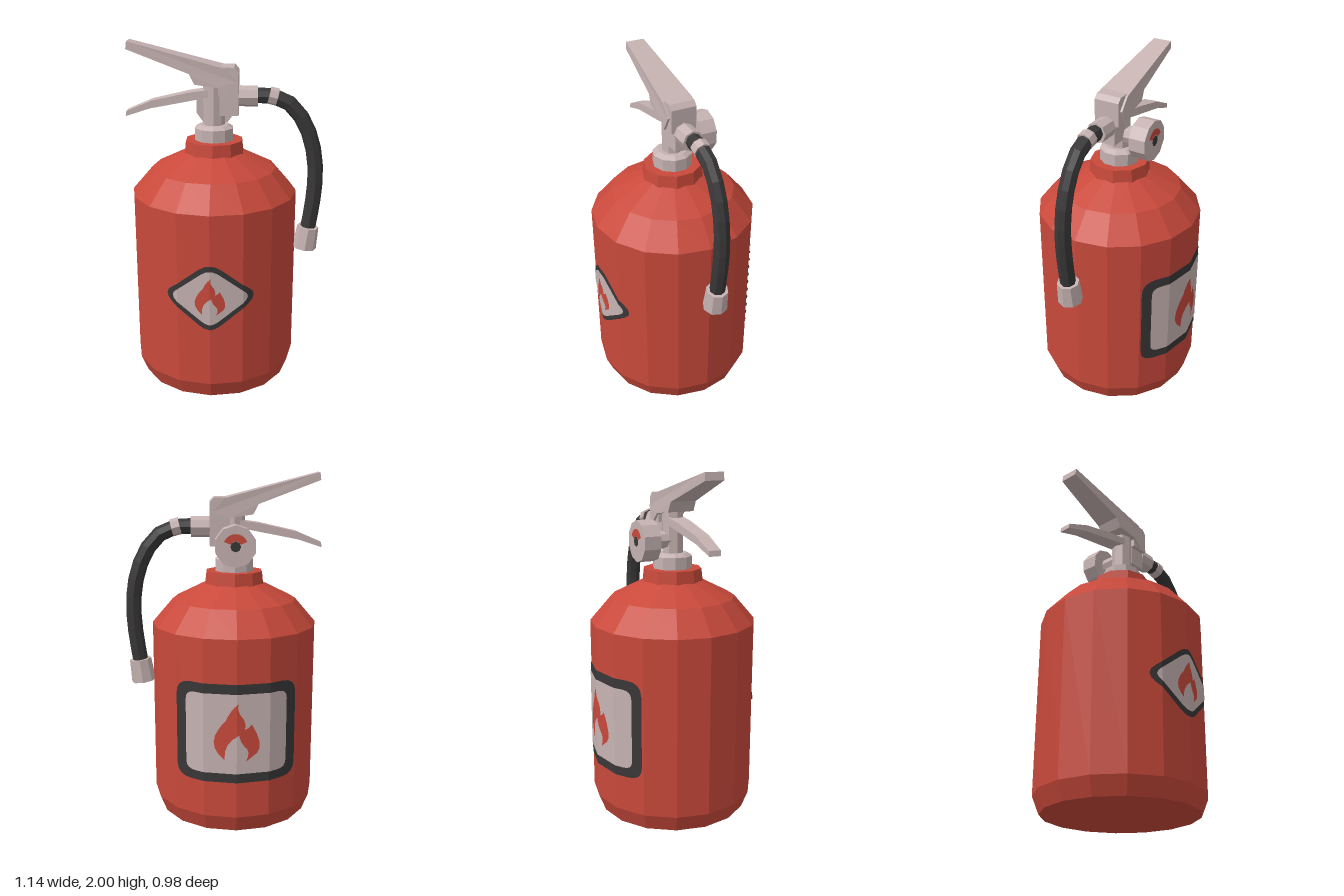
import * as THREE from 'three';

const red = new THREE.MeshStandardMaterial({ color: 0xc9493b });
red.name = 'red paint';
const metal = new THREE.MeshStandardMaterial({ color: 0xc6b3b2 });
metal.name = 'pale metal';
const black = new THREE.MeshStandardMaterial({ color: 0x393737 });
black.name = 'black rubber';

const AXIS = -0.065; // x of the tank axis
const R = 0.48;
const SIDES = 16;

// Faceted copy of a geometry
function flat(geo) {
  const g = geo.index ? geo.toNonIndexed() : geo;
  g.computeVertexNormals();
  return g;
}

function add(parent, name, geo, mat, x = 0, y = 0, z = 0) {
  const mesh = new THREE.Mesh(flat(geo), mat);
  mesh.name = name;
  mesh.position.set(x, y, z);
  parent.add(mesh);
  return mesh;
}

// Side profile extruded across z, its half width set by a rule along x
function lever(points, halfWidth) {
  const shape = new THREE.Shape(points.map(([x, y]) => new THREE.Vector2(x, y)));
  const geo = new THREE.ExtrudeGeometry(shape, { depth: 2, bevelEnabled: false });
  geo.translate(0, 0, -1);
  const p = geo.attributes.position;
  for (let i = 0; i < p.count; i++) p.setZ(i, p.getZ(i) * halfWidth(p.getX(i)));
  return geo;
}

// Polygon with softened corners
function rounded(corners, r) {
  const pts = corners.map(([x, y]) => new THREE.Vector2(x, y));
  const n = pts.length;
  const shape = new THREE.Shape();
  pts.forEach((p, i) => {
    const toward = (q) => p.clone().add(q.clone().sub(p).setLength(r));
    const a = toward(pts[(i + n - 1) % n]);
    const b = toward(pts[(i + 1) % n]);
    if (i === 0) shape.moveTo(a.x, a.y);
    else shape.lineTo(a.x, a.y);
    shape.quadraticCurveTo(p.x, p.y, b.x, b.y);
  });
  return shape.getPoints(4);
}

// Keep the part of a polygon on one side of x = limit
function clip(pts, limit, sign) {
  const out = [];
  pts.forEach((p, i) => {
    const q = pts[(i + 1) % pts.length];
    const dp = (p.x - limit) * sign;
    const dq = (q.x - limit) * sign;
    if (dp >= 0) out.push(p);
    if (dp * dq < 0) out.push(p.clone().lerp(q, dp / (dp - dq)));
  });
  return out;
}

// Lay a flat outline onto the tank's facets, lifted a little
function decal(parent, name, pts, mat, lift) {
  const group = new THREE.Group();
  group.name = name;
  const r = R + lift;
  const step = (2 * Math.PI) / SIDES;
  for (let k = -3; k < 3; k++) {
    const x0 = r * Math.sin(k * step), x1 = r * Math.sin((k + 1) * step);
    const z0 = r * Math.cos(k * step), z1 = r * Math.cos((k + 1) * step);
    const piece = clip(clip(pts, x0, 1), x1, -1);
    if (piece.length < 3) continue;
    const geo = new THREE.ShapeGeometry(new THREE.Shape(piece));
    const p = geo.attributes.position;
    for (let i = 0; i < p.count; i++) {
      p.setZ(i, z0 + ((z1 - z0) * (p.getX(i) - x0)) / (x1 - x0));
    }
    add(group, name + 'Facet', geo, mat);
  }
  parent.add(group);
}

// Flame outline about its own centre
function flame(scale, cy) {
  const s = new THREE.Shape();
  s.moveTo(-0.045, -0.095);
  s.quadraticCurveTo(-0.1, -0.05, -0.08, 0.0);
  s.quadraticCurveTo(-0.065, 0.035, -0.04, 0.06);
  s.quadraticCurveTo(-0.025, 0.1, 0.005, 0.125);
  s.quadraticCurveTo(0.0, 0.095, 0.022, 0.07);
  s.quadraticCurveTo(0.035, 0.05, 0.03, 0.025);
  s.quadraticCurveTo(0.05, 0.03, 0.055, 0.045);
  s.quadraticCurveTo(0.105, -0.04, 0.075, -0.07);
  s.lineTo(0.035, -0.1);
  s.quadraticCurveTo(0.055, -0.06, 0.028, -0.04);
  s.quadraticCurveTo(0.015, -0.025, 0.008, 0.005);
  s.quadraticCurveTo(-0.05, -0.03, -0.045, -0.09);
  return s.getPoints(4).map((p) => new THREE.Vector2(p.x * scale, p.y * scale + cy));
}

const box = (w, h) => [[-w, -h], [w, -h], [w, h], [-w, h]];
const diamond = (w, h) => [[0, -h], [w, 0], [0, h], [-w, 0]];
const raise = (pts, y) => pts.map((p) => new THREE.Vector2(p.x, p.y + y));

export function createModel() {
  const model = new THREE.Group();
  model.name = 'fireExtinguisher';

  // Tank and neck
  const profile = [[0, 0], [0.44, 0], [R, 0.1], [R, 1.135], [0.36, 1.275], [0.16, 1.375], [0, 1.375]];
  add(model, 'tank', new THREE.LatheGeometry(profile.map(([x, y]) => new THREE.Vector2(x, y)), SIDES), red, AXIS);
  add(model, 'neck', new THREE.CylinderGeometry(0.168, 0.177, 0.08, 10), red, AXIS, 1.4);

  // Front diamond label
  const front = new THREE.Group();
  front.name = 'frontLabel';
  front.position.x = AXIS;
  decal(front, 'frontBorder', raise(rounded(diamond(0.275, 0.22), 0.08), 0.648), black, 0.003);
  decal(front, 'frontPanel', raise(rounded(diamond(0.235, 0.182), 0.06), 0.648), metal, 0.006);
  decal(front, 'frontFlame', flame(1, 0.645), red, 0.009);
  model.add(front);

  // Back rectangular label
  const back = new THREE.Group();
  back.name = 'backLabel';
  back.position.x = AXIS;
  back.rotation.y = Math.PI;
  decal(back, 'backBorder', raise(rounded(box(0.333, 0.287), 0.08), 0.598), black, 0.003);
  decal(back, 'backPanel', raise(rounded(box(0.282, 0.232), 0.05), 0.598), metal, 0.006);
  decal(back, 'backFlame', flame(1.5, 0.59), red, 0.009);
  model.add(back);

  // Valve
  add(model, 'collar', new THREE.CylinderGeometry(0.114, 0.114, 0.07, 10), metal, AXIS, 1.475);
  add(model, 'collarTop', new THREE.CylinderGeometry(0.085, 0.114, 0.018, 10), metal, AXIS, 1.519);
  add(model, 'valveStem', new THREE.CylinderGeometry(0.062, 0.062, 0.28, 8), metal, AXIS, 1.64);
  add(model, 'valveBlock', new THREE.BoxGeometry(0.107, 0.16, 0.1), metal, 0.023, 1.665);
  const head = [[-0.035, 1.7], [0.077, 1.7], [0.077, 1.835], [0.052, 1.862], [-0.035, 1.862]];
  add(model, 'valveHead', lever(head, () => 0.075), metal);

  // Handles
  const upper = [[-0.547, 2], [-0.553, 1.957], [-0.2, 1.825], [-0.17, 1.767], [-0.04, 1.75],
    [0.01, 1.7], [0.06, 1.785], [0, 1.857]];
  add(model, 'upperHandle', lever(upper, (x) => Math.min(0.088, 0.055 + (x + 0.55) * 0.062)), metal);
  const lower = [[-0.565, 1.605], [-0.57, 1.575], [-0.43, 1.622], [-0.18, 1.672], [0, 1.71],
    [0, 1.745], [-0.2, 1.717], [-0.42, 1.667]];
  add(model, 'lowerLever', lever(lower, (x) => 0.035 + (x + 0.57) * 0.03), metal);

  // Pressure gauge on the back of the valve
  const gauge = new THREE.Group();
  gauge.name = 'gauge';
  gauge.position.set(AXIS, 1.602, 0);
  gauge.rotation.y = Math.PI;
  add(gauge, 'gaugeStem', new THREE.CylinderGeometry(0.05, 0.05, 0.12, 8).rotateX(Math.PI / 2), metal, 0, 0, 0.08);
  add(gauge, 'gaugeCase', new THREE.CylinderGeometry(0.118, 0.118, 0.1, 10).rotateX(Math.PI / 2), metal, 0, 0, 0.172);
  add(gauge, 'gaugeScale', new THREE.RingGeometry(0.03, 0.07, 10, 1, 0.4, Math.PI - 0.8), red, 0, 0, 0.225);
  add(gauge, 'gaugeHub', new THREE.CircleGeometry(0.03, 8), black, 0, 0, 0.226);
  model.add(gauge);

  // Hose with fittings
  const path = [[0.17, 1.697], [0.28, 1.69], [0.385, 1.635], [0.47, 1.505], [0.512, 1.37],
    [0.526, 1.22], [0.516, 1.06], [0.49, 0.88]];
  const curve = new THREE.CatmullRomCurve3(path.map(([x, y]) => new THREE.Vector3(x, y, 0)));
  add(model, 'hose', new THREE.TubeGeometry(curve, 10, 0.045, 8), black);
  const fitting = add(model, 'hoseFitting', new THREE.CylinderGeometry(0.06, 0.06, 0.11, 8), metal, 0.13, 1.692);
  fitting.rotation.z = -Math.PI / 2;
  const ring = add(model, 'hoseRing', new THREE.CylinderGeometry(0.05, 0.05, 0.05, 8), metal, 0.272, 1.692);
  ring.rotation.z = -Math.PI / 2 - 0.25;
  const nozzle = add(model, 'nozzle', new THREE.CylinderGeometry(0.064, 0.072, 0.135, 8), metal, 0.485, 0.842);
  nozzle.rotation.z = -0.14;

  return model;
}
